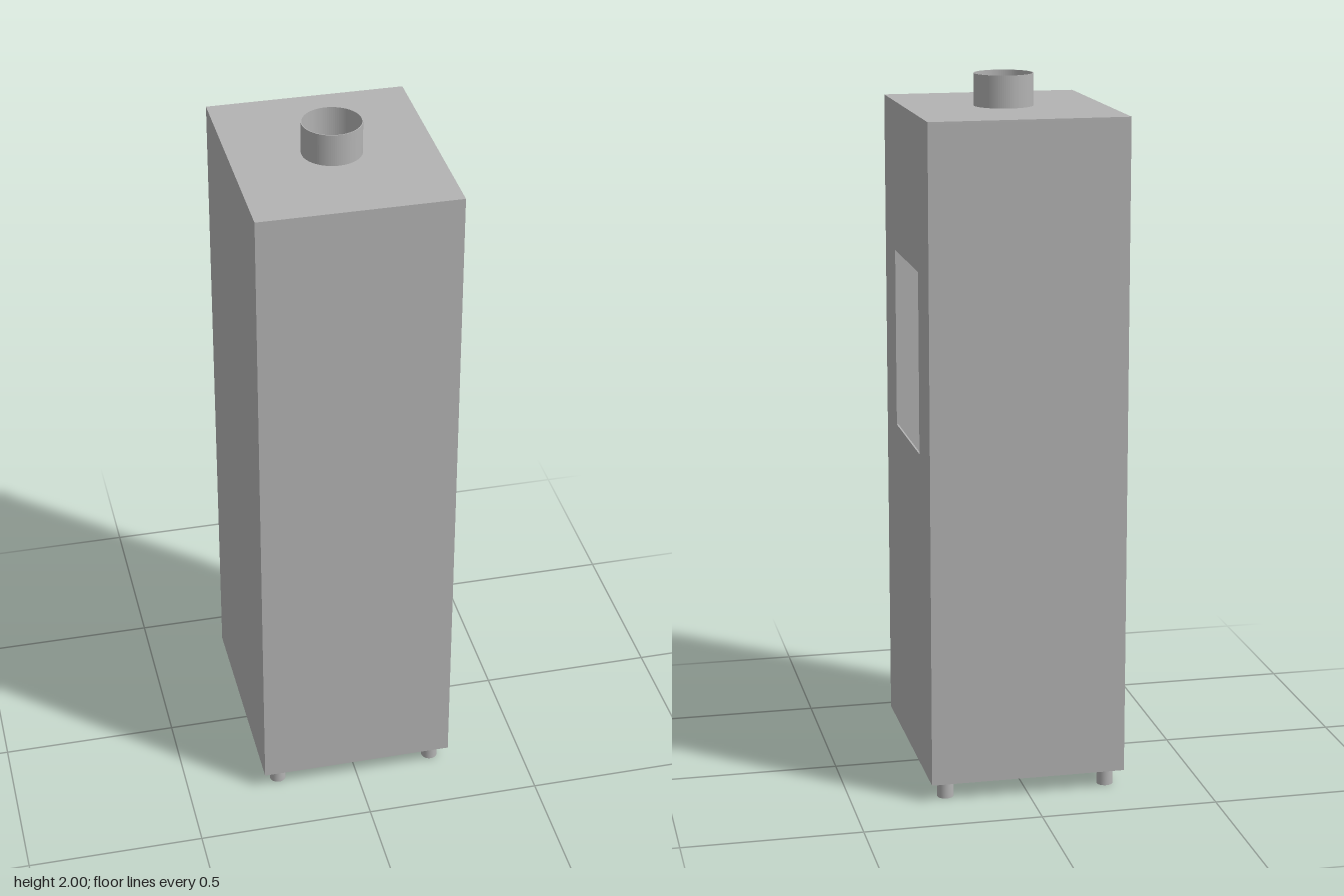
import * as THREE from 'three';

export function createModel() {
  const model = new THREE.Group();
  model.name = 'cabinet';
  const steel = new THREE.MeshStandardMaterial({ color: 0xb3b3b3 });
  steel.name = 'steel grey';

  const X = 0.278, Z = 0.332, Y0 = 0.05, Y1 = 1.91, T = 0.005;
  const H = Y1 - Y0, MID = (Y0 + Y1) / 2;

  const add = (name, geometry, x = 0, y = 0, z = 0) => {
    const mesh = new THREE.Mesh(geometry, steel);
    mesh.name = name;
    mesh.position.set(x, y, z);
    model.add(mesh);
    return mesh;
  };

  // Thin sheet panels around a hollow interior
  add('floorPanel', new THREE.BoxGeometry(2 * X, T, 2 * Z), 0, Y0 + T / 2, 0);
  add('roofPanel', new THREE.BoxGeometry(2 * X, T, 2 * Z), 0, Y1 - T / 2, 0);
  const wallH = H - 2 * T;
  add('frontPanel', new THREE.BoxGeometry(2 * X, wallH, T), 0, MID, Z - T / 2);
  add('backPanel', new THREE.BoxGeometry(2 * X, wallH, T), 0, MID, -Z + T / 2);
  const innerZ = Z - T;
  add('closedSidePanel', new THREE.BoxGeometry(T, wallH, 2 * innerZ), -X + T / 2, MID, 0);

  // Side panel with the rectangular window opening
  const rect = (target, x0, y0, x1, y1) => {
    target.moveTo(x0, y0);
    target.lineTo(x1, y0);
    target.lineTo(x1, y1);
    target.lineTo(x0, y1);
    target.closePath();
    return target;
  };
  const side = rect(new THREE.Shape(), -innerZ, Y0 + T, innerZ, Y1 - T);
  side.holes.push(rect(new THREE.Path(), -0.178, 0.97, 0.178, 1.483));
  const sideGeometry = new THREE.ExtrudeGeometry(side, { depth: T, bevelEnabled: false });
  sideGeometry.rotateY(Math.PI / 2);
  add('windowSidePanel', sideGeometry, X - T, 0, 0);

  // Two tanks standing inside, seen through the window
  const tankTop = 1.23, tankBase = Y0 + T;
  for (const s of [1, -1]) {
    add('innerTank', new THREE.CylinderGeometry(0.076, 0.076, tankTop - tankBase, 48),
      0, (tankTop + tankBase) / 2, s * 0.14);
  }

  // Open flue collar on the roof, with a thin wall
  const collar = new THREE.Shape().absarc(0, 0, 0.083, 0, Math.PI * 2, false);
  collar.holes.push(new THREE.Path().absarc(0, 0, 0.0805, 0, Math.PI * 2, true));
  const collarGeometry = new THREE.ExtrudeGeometry(collar, {
    depth: 2 - Y1, bevelEnabled: false, curveSegments: 48,
  });
  collarGeometry.rotateX(-Math.PI / 2);
  add('flueCollar', collarGeometry, 0, Y1, 0);

  // Four round feet
  for (const sx of [1, -1]) {
    for (const sz of [1, -1]) {
      add('foot', new THREE.CylinderGeometry(0.023, 0.023, Y0, 32), sx * 0.232, Y0 / 2, sz * 0.289);
    }
  }

  return model;
}
